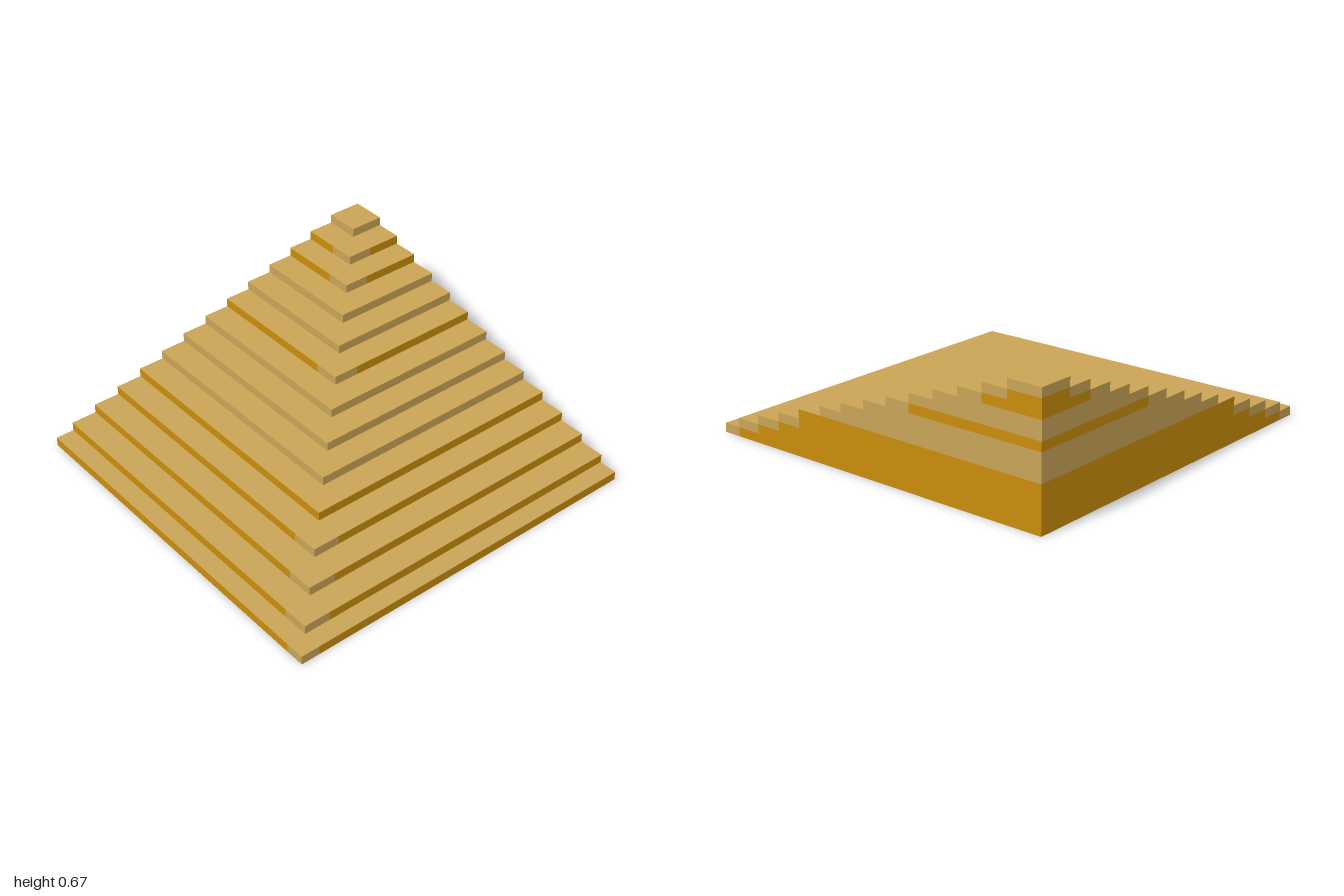
import * as THREE from 'three';

// Quarter of a stepped pyramid: square slabs sharing the back left corner.
export function createModel() {
  const model = new THREE.Group();
  model.name = 'quarterSteppedPyramid';

  const sand = new THREE.MeshStandardMaterial({ color: 0xc9a456 });
  sand.name = 'pale sand';
  const ochre = new THREE.MeshStandardMaterial({ color: 0xc98c0c });
  ochre.name = 'ochre';

  const step = 0.0478;
  // Outer edge of every slab, bottom to top
  const edges = [1, 0.9, 0.76, 0.615, 0.472, 0.33, 0.188, 0.044, -0.1, -0.242, -0.386, -0.53, -0.67, -0.812];
  const ochreLayers = [0, 1, 2, 3, 4, 8, 11, 12];

  // Block between two x and two z limits; faces ordered +x, -x, +y, -y, +z, -z
  function block(name, parent, x0, x1, z0, z1, materials) {
    const mesh = new THREE.Mesh(new THREE.BoxGeometry(x1 - x0, step, z1 - z0), materials);
    mesh.position.set((x0 + x1) / 2, step / 2, (z0 + z1) / 2);
    mesh.name = name;
    parent.add(mesh);
  }

  edges.forEach((edge, i) => {
    const layer = new THREE.Group();
    layer.name = `step${i + 1}`;
    layer.position.y = i * step;
    model.add(layer);

    if (!ochreLayers.includes(i)) {
      block('slab', layer, -1, edge, -1, edge, sand);
    } else if (i === 4) {
      // Ochre slab with a sand tread
      block('slab', layer, -1, edge, -1, edge, [ochre, ochre, sand, ochre, ochre, ochre]);
    } else {
      // Ochre core and risers, with sand treads, strip ends and outer corner
      const inner = edges[i + 1];
      block('core', layer, -1, inner, -1, inner, ochre);
      block('frontTread', layer, -1, inner, inner, edge, [sand, sand, sand, ochre, ochre, sand]);
      block('leftTread', layer, inner, edge, -1, inner, [ochre, sand, sand, ochre, sand, sand]);
      block('cornerTread', layer, inner, edge, inner, edge, [sand, sand, sand, ochre, sand, sand]);
    }
  });

  return model;
}
